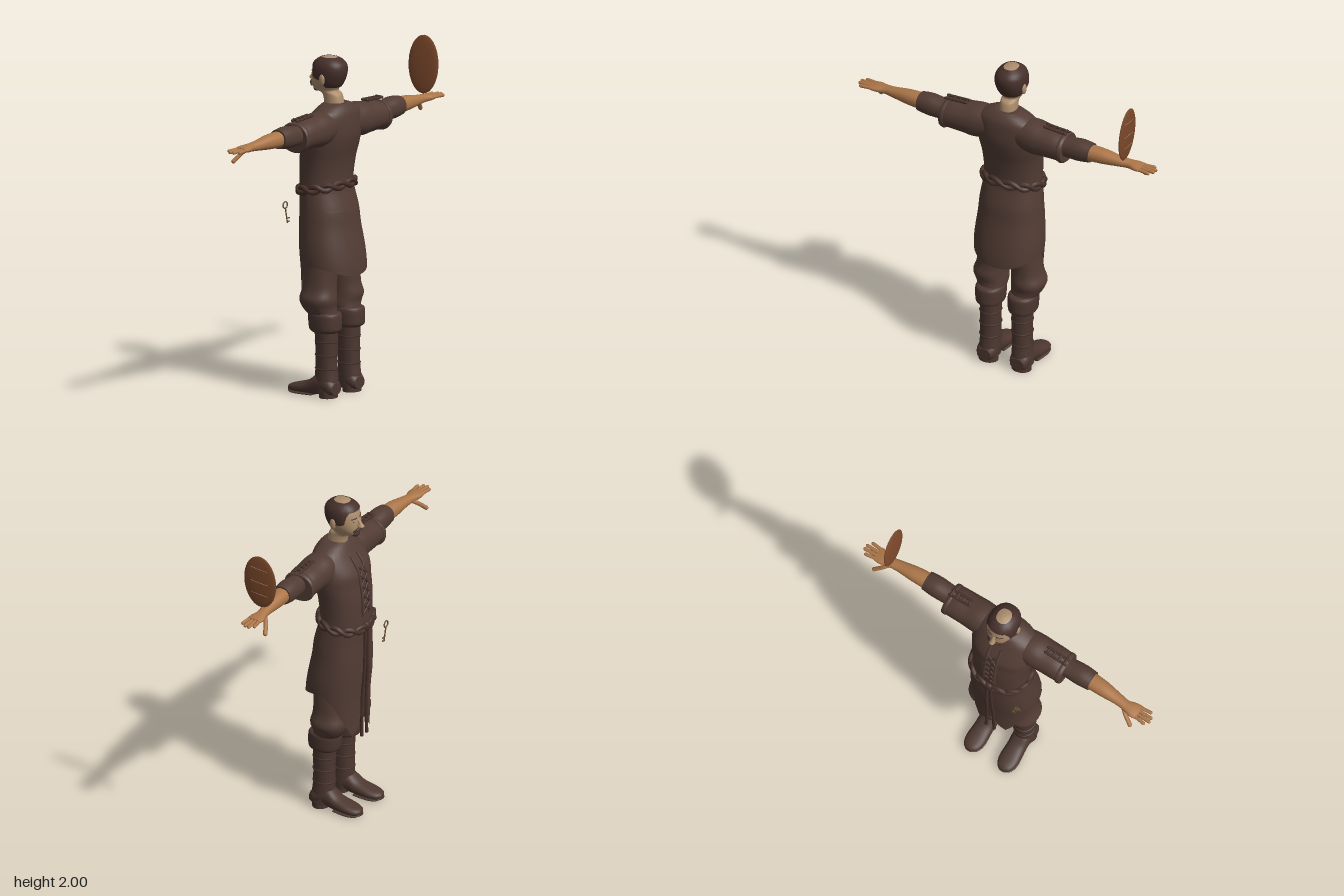
import * as THREE from 'three';

const mat = (name, color, side = THREE.FrontSide) => {
  const m = new THREE.MeshStandardMaterial({ color, side });
  m.name = name;
  return m;
};
const V = (x, y, z) => new THREE.Vector3(x, y, z);

// Smoothly resample key sections, n steps per span
function dense(rows, n = 5) {
  const out = [];
  for (let i = 0; i < rows.length - 1; i++) {
    const p = [rows[Math.max(i - 1, 0)], rows[i], rows[i + 1], rows[Math.min(i + 2, rows.length - 1)]];
    for (let k = 0; k < n; k++) {
      const t = k / n;
      out.push(p[1].map((b, c) => {
        const a = p[0][c], d = p[2][c], e = p[3][c];
        const m0 = (d - a) / 2, m1 = (e - b) / 2;
        return b + m0 * t + (3 * (d - b) - 2 * m0 - m1) * t * t + (2 * (b - d) + m0 + m1) * t * t * t;
      }));
    }
  }
  out.push(rows[rows.length - 1]);
  return out;
}

// Section of a top-down y profile at one height
function at(rows, y) {
  let i = 0;
  while (i < rows.length - 2 && rows[i + 1][0] > y) i++;
  const a = rows[i], b = rows[i + 1];
  const t = THREE.MathUtils.clamp((a[0] - y) / (a[0] - b[0]), 0, 1);
  return a.map((v, c) => v + (b[c] - v) * t);
}

// Join rings of points into a skin, with optional end caps
function skin(rings, caps = true) {
  const n = rings[0].length, pos = [], idx = [], mid = V(0, 0, 0);
  rings.forEach((r) => r.forEach((p) => { pos.push(p.x, p.y, p.z); mid.add(p); }));
  mid.divideScalar(rings.length * n);
  for (let i = 0; i < rings.length - 1; i++) for (let j = 0; j < n; j++) {
    const a = i * n + j, b = i * n + (j + 1) % n;
    idx.push(a, b, a + n, b, b + n, a + n);
  }
  if (caps) [rings[0], rings[rings.length - 1]].forEach((r, e) => {
    const base = pos.length / 3, c = V(0, 0, 0);
    r.forEach((p) => { pos.push(p.x, p.y, p.z); c.add(p); });
    c.divideScalar(n);
    pos.push(c.x, c.y, c.z);
    for (let j = 0; j < n; j++) {
      const a = base + j, b = base + (j + 1) % n;
      if (e) idx.push(a, b, base + n); else idx.push(b, a, base + n);
    }
  });
  // Turn the skin outward
  let vol = 0;
  const q = (k) => V(pos[3 * k], pos[3 * k + 1], pos[3 * k + 2]).sub(mid);
  for (let i = 0; i < idx.length; i += 3) vol += q(idx[i]).dot(q(idx[i + 1]).cross(q(idx[i + 2])));
  if (vol < 0) idx.reverse();
  const g = new THREE.BufferGeometry();
  g.setAttribute('position', new THREE.Float32BufferAttribute(pos, 3));
  g.setIndex(idx);
  g.computeVertexNormals();
  return g;
}

const SEG = 28;
const angles = Array.from({ length: SEG }, (_, j) => j / SEG * Math.PI * 2);
const pw = (v) => Math.sign(v) * Math.abs(v) ** 0.9;
// Rows: [position, centreA, centreB, radiusA, radiusB] along the chosen axis
function loft(axis, rows, s = 1, n = 5) {
  return skin(dense(rows, n).map(([p, ca, cb, ra, rb]) => angles.map((t) => {
    const a = ca + ra * pw(Math.cos(t)), b = cb + rb * pw(Math.sin(t));
    return axis === 'y' ? V(a * s, p, b) : axis === 'x' ? V(p * s, a, b) : V(a * s, b, p);
  })));
}
// Open sheet over a profile, from a top height down to a hem that varies by angle
function drape(rows, top, hem, off, steps = 16) {
  return skin(Array.from({ length: steps + 1 }, (_, i) => angles.map((t) => {
    const y = top + (hem(t) - top) * i / steps, r = at(rows, y);
    return V((r[3] + off) * pw(Math.cos(t)), y, r[2] + (r[4] + off) * pw(Math.sin(t)));
  })), false);
}
function rod(a, b, r) {
  const g = new THREE.CapsuleGeometry(r, a.distanceTo(b), 4, 10);
  g.applyQuaternion(new THREE.Quaternion().setFromUnitVectors(V(0, 1, 0), b.clone().sub(a).normalize()));
  const c = a.clone().add(b).multiplyScalar(0.5);
  return g.translate(c.x, c.y, c.z);
}
const tube = (pts, r, closed = false) =>
  new THREE.TubeGeometry(new THREE.CatmullRomCurve3(pts, closed), closed ? 72 : 20, r, 8, closed);
const blob = (x, y, z, a, b, c) => new THREE.SphereGeometry(1, 20, 14).scale(a, b, c).translate(x, y, z);

export function createModel() {
  const M = {
    cloth: mat('dark brown cloth', 0x523c34, THREE.DoubleSide),
    leather: mat('dark leather', 0x4c3730),
    trim: mat('belt trim', 0x463029),
    hair: mat('dark hair', 0x452f2a, THREE.DoubleSide),
    face: mat('pale skin', 0xac8d6c),
    arm: mat('tan skin', 0xac7649),
    disc: mat('reddish brown wood', 0x7e4a2c),
    line: mat('light scratch', 0xb08a68),
    metal: mat('dull brass', 0x6b5236),
  };
  const root = new THREE.Group();
  const add = (name, geo, m) => {
    const mesh = new THREE.Mesh(geo, M[m]);
    mesh.name = name;
    root.add(mesh);
    return mesh;
  };

  // Tunic, facing -z
  const torso = [[1.725, 0, .045, .075, .065], [1.705, 0, .045, .125, .085], [1.66, 0, .04, .185, .11],
    [1.56, 0, .012, .2, .145], [1.48, 0, 0, .195, .145], [1.38, 0, -.018, .182, .14], [1.24, 0, -.025, .176, .135],
    [1.1, 0, -.005, .19, .15], [1, 0, 0, .198, .158], [.85, 0, .018, .21, .17], [.72, 0, .03, .205, .172], [.43, 0, .03, .19, .172]];
  const body = dense(torso);
  add('tunicTop', loft('y', torso.slice(0, 8)), 'cloth');
  const hem = (t) => {
    const f = -Math.sin(t), c = Math.abs(Math.cos(t));
    if (f < 0) return .72 + .06 * c * c;
    return .78 - .35 * f * f + Math.max(0, .35 - c) * .75;
  };
  add('tunicSkirt', drape(body, 1.2, hem, 0), 'cloth');
  const front = (y, off = .006) => { const r = at(body, y); return r[2] - r[4] - off; };

  // Twisted rope belt, lower at the front
  for (const k of [0, 1]) {
    add('belt', tube(Array.from({ length: 36 }, (_, i) => {
      const t = i / 36 * Math.PI * 2, w = Math.sin(t * 6 + k * Math.PI);
      const y = 1.225 + .025 * Math.sin(t) + .017 * w, r = at(body, y), o = .006 + .004 * Math.cos(t * 6 + k * Math.PI);
      return V((r[3] + o) * pw(Math.cos(t)), y, r[2] + (r[4] + o) * pw(Math.sin(t)));
    }), .016, true), 'trim');
  }
  add('beltKnot', blob(0, 1.2, front(1.2), .035, .03, .02), 'trim');
  for (const s of [-1, 1]) {
    add('beltTail', tube([1.2, 1.05, .9, .75, .6, .48].map((y, i) => V(s * (.012 + .003 * i), y, front(y))), .01), 'trim');
    // Crossed chest lacing
    for (let i = 0; i < 5; i++) {
      const y = 1.3 + i * .06;
      add('lacing', rod(V(-s * .03, y, front(y)), V(s * .03, y + .05, front(y + .05)), .006), 'trim');
    }
    add('placket', tube([1.28, 1.38, 1.48, 1.58, 1.65].map((y) => V(s * .035, y, front(y, .002))), .009), 'cloth');
  }

  // Head, neck and face
  const headRows = [[1.995, 0, 0, .012, .014], [1.982, 0, 0, .05, .058], [1.95, 0, 0, .079, .094], [1.9, 0, -.005, .087, .104],
    [1.84, 0, -.018, .078, .096], [1.795, 0, -.025, .055, .076], [1.77, 0, .02, .05, .06], [1.69, 0, .035, .054, .06]];
  add('head', loft('y', headRows), 'face');
  const sm = THREE.MathUtils.smoothstep;
  add('hair', drape(dense(headRows), 1.988, (t) => 1.815 + .05 * sm(-Math.sin(t), -.5, .1) + .08 * sm(-Math.sin(t), .35, .75), .006), 'hair');
  add('nose', loft('y', [[1.895, 0, -.106, .008, .008], [1.865, 0, -.118, .012, .018], [1.848, 0, -.125, .018, .022], [1.838, 0, -.115, .012, .012]]), 'face');
  add('beard', blob(0, 1.795, -.092, .028, .022, .02), 'hair');
  for (const s of [-1, 1]) {
    add('ear', blob(s * .09, 1.865, .01, .011, .034, .02), 'face');
    add('moustache', tube([V(0, 1.833, -.122), V(s * .022, 1.831, -.117), V(s * .04, 1.815, -.1)], .009), 'hair');
    add('eyebrow', rod(V(s * .018, 1.903, -.107), V(s * .05, 1.903, -.092), .004), 'hair');
    add('eye', blob(s * .033, 1.885, -.1, .011, .005, .004), 'hair');
  }

  for (const s of [-1, 1]) {
    // Sleeves
    add('shoulderSleeve', loft('x', [[.06, 1.605, .045, .08, .09], [.18, 1.595, .048, .1, .1], [.26, 1.592, .05, .092, .098],
      [.34, 1.59, .05, .087, .097], [.4, 1.582, .05, .079, .094]], s), 'cloth');
    add('sleeveHem', loft('x', [[.375, 1.585, .05, .086, .098], [.39, 1.583, .05, .09, .1], [.405, 1.582, .05, .082, .096]], s), 'cloth');
    add('lowerSleeve', loft('x', [[.36, 1.6, .06, .056, .058], [.42, 1.6, .06, .06, .06], [.5, 1.605, .06, .065, .063], [.57, 1.606, .06, .056, .058]], s), 'cloth');
    // Shoulder straps
    for (const z of [.035, .07]) add('shoulderStrap', rod(V(s * .26, 1.693, z), V(s * .4, 1.685, z), .008), 'trim');
    for (let i = 0; i < 4; i++) {
      const x = s * (.27 + i * .04);
      add('shoulderLace', rod(V(x, 1.69, .035), V(x, 1.69, .07), .007), 'trim');
    }
    // Forearm and hand
    add('forearm', loft('x', [[.55, 1.606, .06, .047, .05], [.65, 1.606, .056, .043, .046], [.75, 1.602, .05, .03, .035], [.81, 1.6, .043, .024, .033],
      [.86, 1.6, .043, .02, .046], [.9, 1.6, .045, .013, .046]], s), 'arm');
    [[.005, .955], [.03, .977], [.055, .975], [.083, .955]].forEach(([z, x]) =>
      add('finger', rod(V(s * .89, 1.601, z * .8 + .01), V(s * x, 1.599, z), .0105), 'arm'));
    add('thumb', tube([V(s * .8, 1.592, .03), V(s * .835, 1.565, .002), V(s * .88, 1.522, -.022)], .013), 'arm');
    add('thumbTip', blob(s * .88, 1.522, -.022, .013, .013, .013), 'arm');

    // Breeches, cuffs and boots
    add('breeches', loft('y', [[.9, .1, .02, .085, .1], [.72, .108, .015, .09, .098], [.64, .115, .012, .092, .1],
      [.58, .126, .012, .1, .11], [.53, .117, .015, .094, .098], [.49, .107, .03, .08, .085]], s), 'cloth');
    add('bootCuff', loft('y', [[.505, .108, .045, .07, .085], [.49, .108, .047, .085, .1], [.43, .108, .05, .084, .1],
      [.4, .108, .052, .08, .095], [.385, .108, .052, .066, .075]], s), 'leather');
    add('bootShaft', loft('y', [[.42, .105, .055, .063, .07], [.28, .105, .057, .059, .065], [.16, .106, .057, .058, .066],
      [.09, .108, .06, .06, .07], [.03, .11, .06, .06, .068]], s), 'leather');
    add('foot', loft('z', [[.132, .11, .055, .045, .035], [.1, .11, .065, .06, .055], [.02, .11, .075, .058, .065], [-.05, .112, .05, .058, .044],
      [-.13, .114, .038, .06, .03], [-.18, .115, .032, .045, .022], [-.2, .115, .03, .02, .012]], s), 'leather');
    add('sole', loft('z', [[-.03, .112, .009, .05, .009], [-.12, .114, .009, .06, .009], [-.175, .115, .011, .048, .009], [-.203, .115, .018, .018, .006]], s), 'leather');
    add('heel', new THREE.CylinderGeometry(.062, .06, .045, 20).scale(1, 1, .85).translate(s * .11, .0225, .075), 'leather');
    for (let i = 0; i < 3; i++)
      add('bootStrap', new THREE.TorusGeometry(.061, .005, 6, 28).rotateX(Math.PI / 2).scale(1, 1, 1.08).translate(s * .105, .17 + i * .08, .057), 'trim');
  }

  // Oval plate standing above the hand, with thin scratches
  const plate = new THREE.Group();
  plate.name = 'ovalPlate';
  plate.position.set(.803, 1.807, .06);
  plate.rotation.set(0, .06, -.06);
  root.add(plate);
  plate.add(add('plate', blob(0, 0, 0, .014, .172, .105), 'disc'));
  [.09, 0, -.08].forEach((y) => plate.add(add('scratch', tube([-.055, 0, .055].map((z) =>
    V(.014 * Math.sqrt(1 - (y / .172) ** 2 - (z / .105) ** 2), y + z * .12, z)), .0015), 'line')));

  // Hanging key
  add('keyRing', new THREE.TorusGeometry(.02, .004, 8, 20).translate(-.2, 1.12, -.172), 'metal');
  add('keyShaft', rod(V(-.198, 1.1, -.172), V(-.185, 1.015, -.168), .004), 'metal');
  for (const y of [1.02, 1.04]) add('keyBit', rod(V(-.187, y, -.168), V(-.168, y, -.168), .004), 'metal');
  return root;
}
